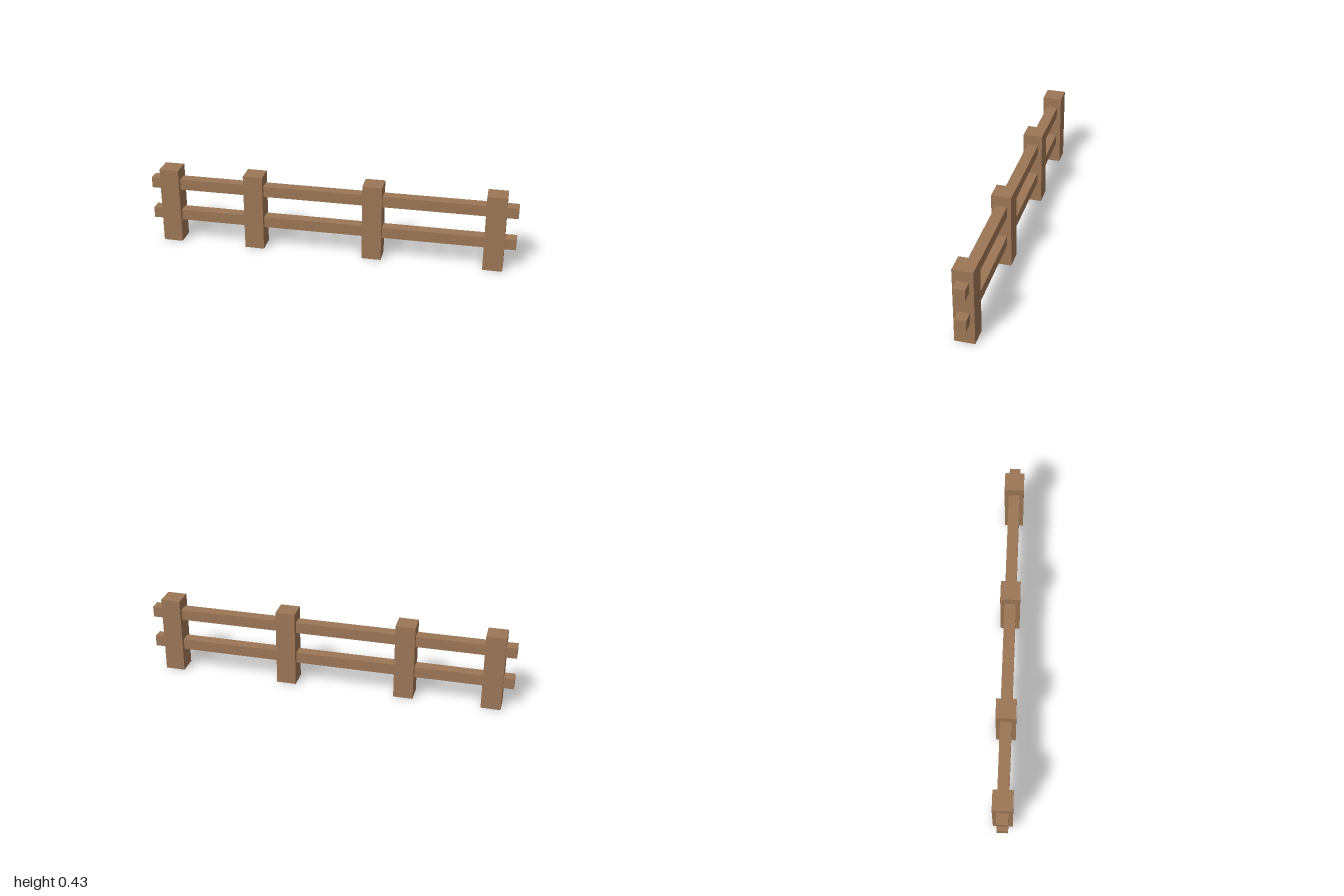
import * as THREE from 'three';

export function createModel() {
  const group = new THREE.Group();
  group.name = 'fence';
  const wood = new THREE.MeshStandardMaterial({ color: 0x9c7656 });
  wood.name = 'brown wood';

  const addBox = (name, size, position) => {
    const mesh = new THREE.Mesh(new THREE.BoxGeometry(...size), wood);
    mesh.name = name;
    mesh.position.set(...position);
    group.add(mesh);
  };

  // Upright square posts, unevenly spaced
  const postHeight = 0.425;
  const postWidth = 0.106;
  [-0.89, -0.419, 0.233, 0.885].forEach((x, i) =>
    addBox(`post${i + 1}`, [postWidth, postHeight, postWidth], [x, postHeight / 2, 0]));

  // Horizontal rails running through the posts
  const railSize = 0.06;
  addBox('lowerRail', [2, railSize, railSize], [0, 0.153, 0]);
  addBox('upperRail', [2, railSize, railSize], [0, 0.335, 0]);

  return group;
}
